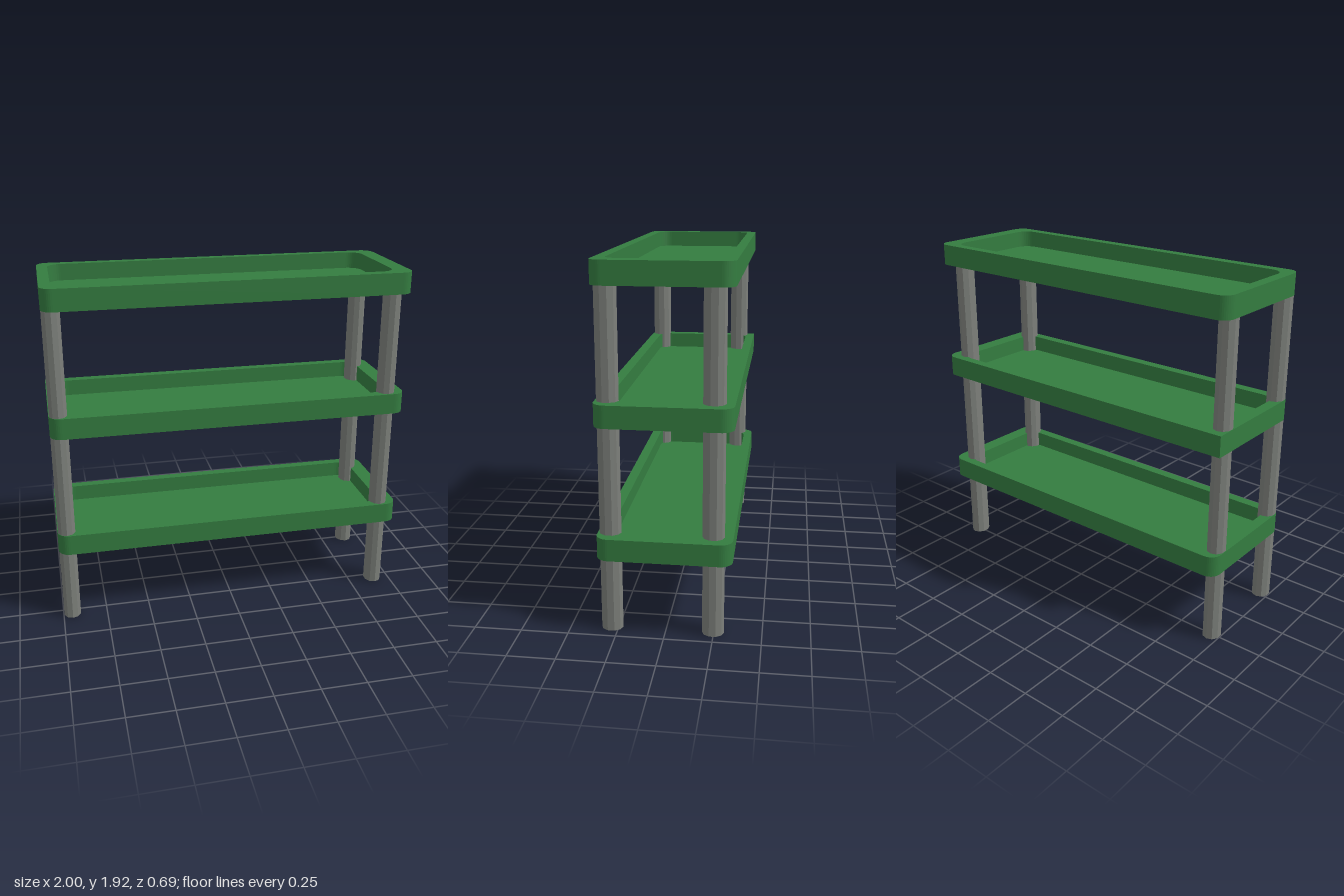
import * as THREE from 'three';

const green = new THREE.MeshStandardMaterial({ color: 0x347c40 });
green.name = 'tray green';
const grey = new THREE.MeshStandardMaterial({ color: 0x7c7f7a, flatShading: true });
grey.name = 'leg grey';

// Rectangle with rounded corners; the back corner at -x can be left square
function roundedRect(path, x0, x1, z0, z1, r, squareBackCorner = false) {
  // shape y is -z, so the back edge (z0) is at y = -z0
  const y0 = -z1, y1 = -z0;
  path.moveTo(x0 + r, y0);
  path.lineTo(x1 - r, y0);
  path.absarc(x1 - r, y0 + r, r, -Math.PI / 2, 0);
  path.lineTo(x1, y1 - r);
  path.absarc(x1 - r, y1 - r, r, 0, Math.PI / 2);
  if (squareBackCorner) path.lineTo(x0, y1);
  else {
    path.lineTo(x0 + r, y1);
    path.absarc(x0 + r, y1 - r, r, Math.PI / 2, Math.PI);
  }
  path.lineTo(x0, y0 + r);
  path.absarc(x0 + r, y0 + r, r, Math.PI, Math.PI * 1.5);
  return path;
}

function slab(name, shape, bottom, height) {
  const geo = new THREE.ExtrudeGeometry(shape, { depth: height, bevelEnabled: false, curveSegments: 5 });
  geo.rotateX(-Math.PI / 2);
  const mesh = new THREE.Mesh(geo, green);
  mesh.name = name;
  mesh.position.y = bottom;
  return mesh;
}

// Tray: a raised rim around a thin floor
function makeTray(name, bottom, top, square) {
  const tray = new THREE.Group();
  tray.name = name;
  const inner = [-0.94, 0.91, -0.295, 0.29, 0.075];
  const rim = roundedRect(new THREE.Shape(), -1, 1, -0.347, 0.347, 0.065, square);
  rim.holes.push(roundedRect(new THREE.Path(), ...inner));
  tray.add(slab('rim', rim, bottom, top - bottom));
  tray.add(slab('floor', roundedRect(new THREE.Shape(), ...inner), bottom, 0.026));
  return tray;
}

export function createModel() {
  const group = new THREE.Group();
  group.name = 'shelf';

  group.add(makeTray('lowerTray', 0.418, 0.535, false));
  group.add(makeTray('middleTray', 1.113, 1.23, true));
  group.add(makeTray('topTray', 1.803, 1.922, false));

  // Legs run through the lower trays up into the top one
  const height = 1.825;
  const legGeo = new THREE.CylinderGeometry(0.05, 0.05, height, 10);
  legGeo.scale(1, 1, 1.14);
  for (const [side, x] of [['Right', -0.949], ['Left', 0.9]]) {
    for (const [end, z] of [['front', 0.283], ['back', -0.246]]) {
      const leg = new THREE.Mesh(legGeo, grey);
      leg.name = end + side + 'Leg';
      leg.position.set(x, height / 2, z);
      group.add(leg);
    }
  }
  return group;
}
